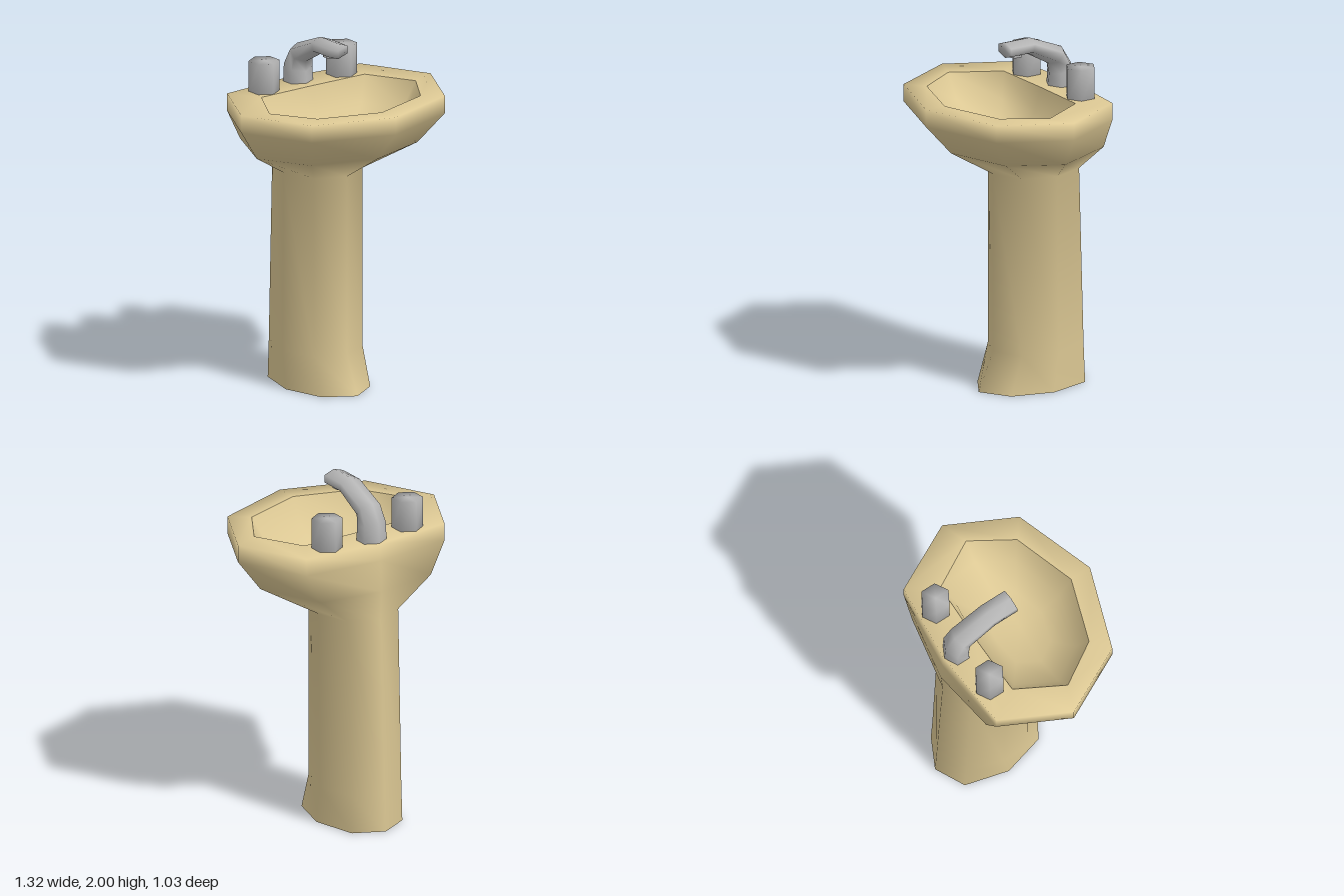
import * as THREE from 'three';
import { mergeVertices } from 'three/addons/utils/BufferGeometryUtils.js';

// Skin a list of closed rings (arrays of [x, y, z]) with smooth shared normals
function loft(rings) {
  const n = rings[0].length;
  const index = [];
  for (let i = 0; i < rings.length - 1; i++) {
    for (let j = 0; j < n; j++) {
      const k = (j + 1) % n;
      const a = i * n + j, b = a + n, c = (i + 1) * n + k, d = i * n + k;
      index.push(a, b, c, a, c, d);
    }
  }
  const raw = new THREE.BufferGeometry();
  raw.setAttribute('position', new THREE.Float32BufferAttribute(rings.flat(2), 3));
  raw.setIndex(index);
  const geometry = mergeVertices(raw);
  geometry.computeVertexNormals();
  return geometry;
}

// Eight-sided ring: front, front corner, side, back corner and back depths
function octagon(y, width, corner, [front, frontCorner, side, backCorner, back]) {
  return [
    [0, y, front], [corner, y, frontCorner], [width, y, side], [corner, y, backCorner],
    [0, y, back], [-corner, y, backCorner], [-width, y, side], [-corner, y, frontCorner],
  ];
}

// Six-sided ring across a path in the YZ plane
function hexagon([y, z, angle, w, h]) {
  const ring = [];
  for (let j = 0; j < 6; j++) {
    const a = (j * Math.PI) / 3;
    const up = h * Math.cos(a);
    ring.push([w * Math.sin(a), y - Math.sin(angle) * up, z + Math.cos(angle) * up]);
  }
  return ring;
}

export function createModel() {
  const group = new THREE.Group();
  const ceramic = new THREE.MeshStandardMaterial({ color: 0xdcc894, side: THREE.DoubleSide });
  ceramic.name = 'ceramic';
  const metal = new THREE.MeshStandardMaterial({ color: 0xb6b6b6 });
  metal.name = 'metal';

  const add = (name, geometry, material, x = 0, y = 0, z = 0) => {
    const mesh = new THREE.Mesh(geometry, material);
    mesh.name = name;
    mesh.position.set(x, y, z);
    group.add(mesh);
  };

  // Flat rim, outer basin and pedestal in one skin, open at the floor
  const innerRim = octagon(1.7, 0.51, 0.36, [0.39, 0.27, 0.03 - 0.0, -0.24, -0.245]);
  innerRim[2][2] = innerRim[6][2] = 0.03;
  const rimSide = [0.39, 0.27, 0.03, -0.24, -0.245];
  const rim = octagon(1.7, 0.51, 0.36, rimSide.map((z, i) => (i === 2 ? 0.03 : z)));
  rim[2][2] = rim[6][2] = innerRim[2][2] = innerRim[6][2] = 0.03;
  add('basinAndPedestal', loft([
    rim,
    octagon(1.7, 0.66, 0.465, [0.515, 0.355, -0.03, -0.415, -0.455]),
    octagon(1.6, 0.66, 0.465, [0.515, 0.355, -0.03, -0.415, -0.465]),
    octagon(1.42, 0.53, 0.37, [0.35, 0.23, -0.06, -0.42, -0.475]),
    octagon(1.25, 0.235, 0.17, [0.07, -0.01, -0.2, -0.39, -0.465]),
    octagon(0.22, 0.235, 0.17, [0.07, -0.01, -0.21, -0.42, -0.505]),
    octagon(0, 0.235, 0.17, [0.165, 0.06, -0.18, -0.43, -0.515]),
  ]), ceramic);

  // Hollow bowl, from its bottom up to the inner rim
  add('bowl', loft([
    octagon(1.45, 0, 0, [0.05, 0.05, 0.05, 0.05, 0.05]),
    octagon(1.47, 0.24, 0.17, [0.19, 0.14, 0.03, -0.09, -0.11]),
    octagon(1.56, 0.42, 0.3, [0.31, 0.22, 0.03, -0.19, -0.21]),
    innerRim,
  ]), ceramic);

  // Spout: tip first, then back along the neck to the base [y, z, angle, w, h]
  add('spout', loft([
    [1.955, -0.01, Math.PI / 2, 0, 0],
    [1.955, -0.01, Math.PI / 2, 0.073, 0.045],
    [1.955, -0.165, 1.4, 0.073, 0.046],
    [1.87, -0.345, 0.85, 0.075, 0.06],
    [1.79, -0.375, 0.3, 0.083, 0.075],
    [1.69, -0.375, 0, 0.087, 0.078],
  ].map(hexagon)), metal);
  add('spoutOutlet', new THREE.CylinderGeometry(0.045, 0.045, 0.03, 6), metal, 0, 1.925, -0.075);

  // Pair of six-sided tap handles, softly shaded over the top
  const handle = new THREE.CylinderGeometry(0.087, 0.087, 0.185, 6);
  handle.deleteAttribute('uv');
  handle.deleteAttribute('normal');
  const softHandle = mergeVertices(handle);
  softHandle.computeVertexNormals();
  for (const side of [1, -1]) {
    add(side > 0 ? 'leftHandle' : 'rightHandle', softHandle, metal, side * 0.27, 1.7825, -0.333);
  }
  return group;
}
